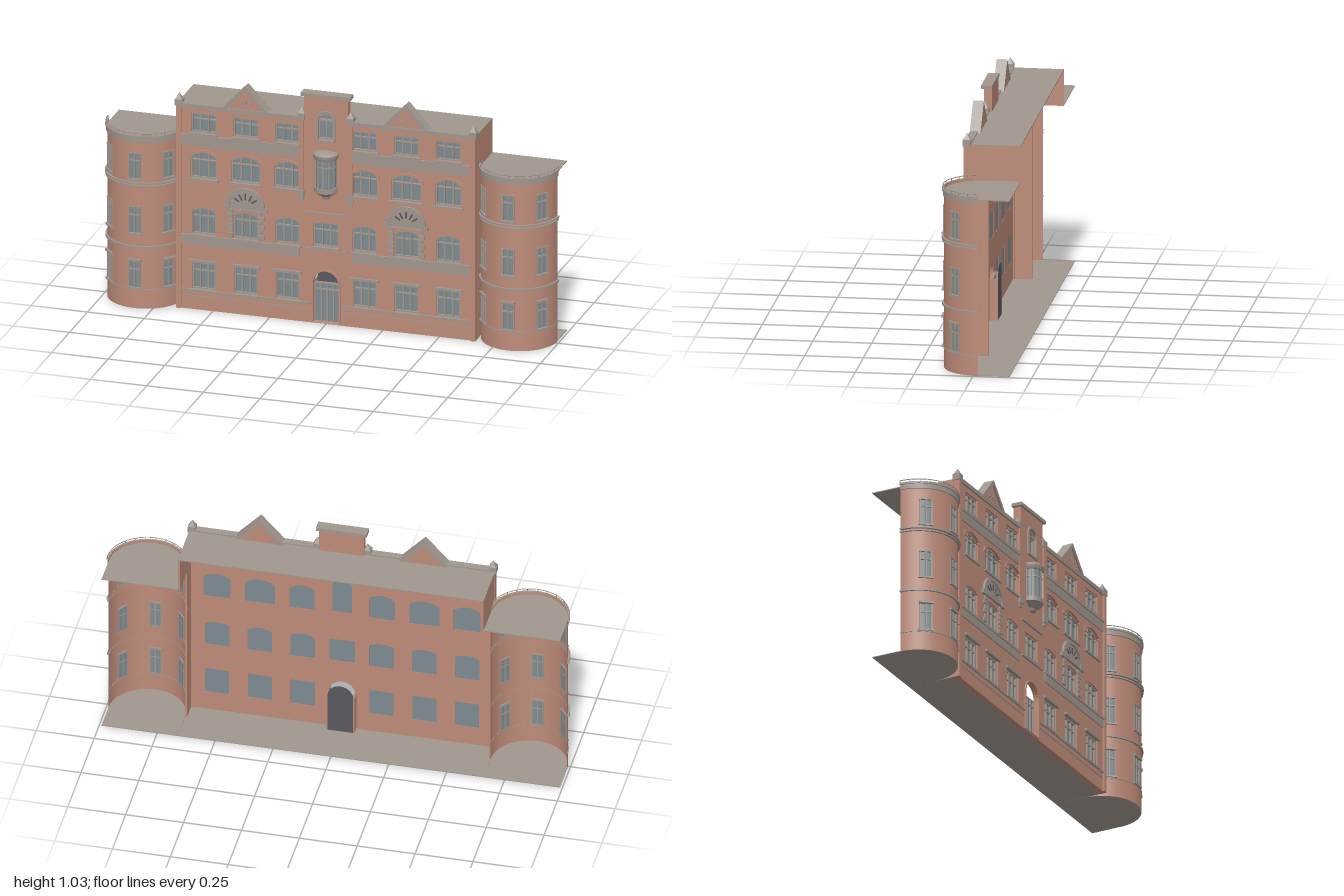
import * as THREE from 'three';
import { toCreasedNormals } from 'three/addons/utils/BufferGeometryUtils.js';

const mat = (name, color) => Object.assign(new THREE.MeshStandardMaterial({ color, side: THREE.DoubleSide }), { name });

export function createModel() {
  const brick = mat('brick', 0xbd8b78), stone = mat('stone', 0xa0968e);
  const glass = mat('glass', 0x7d8b90), dark = mat('dark door', 0x58585f);
  const root = new THREE.Group();
  root.name = 'building';

  const add = (parent, name, geo, m, x = 0, y = 0, z = 0) => {
    const mesh = new THREE.Mesh(geo, m);
    mesh.name = name;
    mesh.position.set(x, y, z);
    parent.add(mesh);
    return mesh;
  };
  // Box given by its ranges
  const box = (parent, name, m, x0, x1, y0, y1, z0, z1) =>
    add(parent, name, new THREE.BoxGeometry(x1 - x0, y1 - y0, z1 - z0), m, (x0 + x1) / 2, (y0 + y1) / 2, (z0 + z1) / 2);
  const extrude = (shape, depth) => new THREE.ExtrudeGeometry(shape, { depth, bevelEnabled: false, curveSegments: 24 });
  // Rectangle whose top is a circular arc of the given rise
  const opening = (x, y0, y1, w, rise = 0) => {
    const h = w / 2, pts = [[x - h, y0], [x + h, y0]];
    if (!rise) pts.push([x + h, y1], [x - h, y1]);
    else {
      const R = (h * h + rise * rise) / (2 * rise), a = Math.asin(Math.min(1, h / R));
      for (let i = 0; i <= 14; i++) {
        const t = a - (2 * a * i) / 14;
        pts.push([x + R * Math.sin(t), y1 - R + R * Math.cos(t)]);
      }
    }
    return pts.map(p => new THREE.Vector2(...p));
  };
  const ring = (outer, inner) => {
    const s = new THREE.Shape(outer);
    s.holes.push(new THREE.Path(inner));
    return s;
  };

  // Window list: x, bottom, top, width, arch rise
  const windows = [[0, 0.345, 0.455, 0.11, 0], [0, 0.83, 0.95, 0.066, 0.033]];
  for (const x of [-0.54, -0.355, -0.17, 0.17, 0.355, 0.54]) {
    const mid = Math.abs(x) === 0.355;
    windows.push([x, 0.092, 0.214, 0.104, 0], [x, 0.34, 0.46, 0.106, 0.014]);
    windows.push([x, 0.592, 0.712, mid ? 0.13 : 0.116, 0.022], [x, 0.797, 0.885, 0.11, 0]);
  }
  const door = [0, 0.004, 0.238, 0.112, 0.056], bayHole = [0, 0.6, 0.765, 0.085, 0.02];

  // Main front wall with a raised centre
  const wall = new THREE.Shape([[-0.66, 0], [0.66, 0], [0.66, 0.915], [0.097, 0.915], [0.097, 1.02],
    [-0.097, 1.02], [-0.097, 0.915], [-0.66, 0.915]].map(p => new THREE.Vector2(...p)));
  for (const o of [...windows, door, bayHole]) wall.holes.push(new THREE.Path(opening(...o)));
  add(root, 'frontWall', extrude(wall, 0.02), brick, 0, 0, 0.06);
  box(root, 'raisedCentreBack', brick, -0.097, 0.097, 0.92, 1.02, 0.045, 0.06);
  box(root, 'raisedCentreCap', stone, -0.11, 0.11, 1.02, 1.035, 0.043, 0.09);

  // Windows of the main wall
  for (const [x, y0, y1, w, rise] of windows) {
    const g = new THREE.Group(), h = y1 - y0, narrow = w < 0.08;
    g.name = 'window';
    root.add(g);
    add(g, 'pane', new THREE.ShapeGeometry(new THREE.Shape(opening(x, y0, y1, w, rise))), glass, 0, 0, 0.0615);
    const inner = opening(x, y0 + 0.006, y1 - 0.006, w - 0.012, rise && rise * (w - 0.012) / w);
    add(g, 'frame', extrude(ring(opening(x, y0, y1, w, rise), inner), 0.01), stone, 0, 0, 0.063);
    for (const s of narrow ? [0] : [-1, 1])
      box(g, 'mullion', stone, x + s * w / 6 - 0.003, x + s * w / 6 + 0.003, y0, y1 - rise * 0.3, 0.063, 0.072);
    box(g, 'transom', stone, x - w / 2, x + w / 2, y0 + h * 0.66, y0 + h * 0.66 + 0.005, 0.063, 0.071);
    box(g, 'sill', stone, x - w / 2 - 0.008, x + w / 2 + 0.008, y0 - 0.008, y0, 0.07, 0.089);
    if (y0 < 0.1) box(g, 'lintel', stone, x - 0.063, x + 0.063, y1, y1 + 0.011, 0.075, 0.091);
    else if (y0 > 0.5 && y0 < 0.7)
      add(g, 'archTrim', extrude(ring(opening(x, y1 - rise - 0.012, y1 + 0.01, w + 0.02, rise + 0.004),
        opening(x, y1 - rise - 0.011, y1, w, rise)), 0.005), brick, 0, 0, 0.08);
  }

  // Entrance: recessed dark arch, glazed doors and brick jambs
  add(root, 'entranceBack', new THREE.ShapeGeometry(new THREE.Shape(opening(...door))), dark, 0, 0, 0.025);
  box(root, 'doorGlass', glass, -0.05, 0.05, 0.005, 0.175, 0.05, 0.055);
  for (const x of [-0.053, -0.027, 0, 0.027, 0.053]) box(root, 'doorMullion', stone, x - 0.003, x + 0.003, 0.004, 0.178, 0.05, 0.062);
  for (const y of [0.145, 0.173]) box(root, 'doorRail', stone, -0.056, 0.056, y, y + 0.006, 0.05, 0.062);
  for (const s of [-1, 1]) box(root, 'doorJamb', brick, s * 0.0585 - 0.0025, s * 0.0585 + 0.0025, 0.003, 0.185, 0.025, 0.06);
  add(root, 'doorArchTrim', extrude(ring(opening(0, 0.003, 0.246, 0.128, 0.064), opening(0, 0.0035, 0.238, 0.112, 0.056)), 0.006), brick, 0, 0, 0.08);
  add(root, 'topWindowTrim', extrude(ring(opening(0, 0.822, 0.96, 0.084, 0.042), opening(0, 0.83, 0.95, 0.066, 0.033)), 0.007), stone, 0, 0, 0.08);
  for (const y of [0.495, 0.33]) box(root, 'centreBand', stone, -0.09, 0.09, y, y + 0.007, 0.08, 0.088);

  // Half-round solid of revolution, bulging to the front
  const halfLathe = pts => toCreasedNormals(new THREE.LatheGeometry(pts.map(p => new THREE.Vector2(...p)), 32, -Math.PI / 2, Math.PI), 0.6);

  // Oriel bay window
  const oriel = new THREE.Group();
  oriel.name = 'oriel';
  oriel.position.z = 0.08;
  root.add(oriel);
  add(oriel, 'orielCorbel', halfLathe([[0, 0.563], [0.016, 0.568], [0.02, 0.58], [0.04, 0.592], [0.05, 0.602], [0.05, 0.622], [0, 0.622]]), stone);
  add(oriel, 'orielGlass', halfLathe([[0.044, 0.62], [0.044, 0.755]]), glass);
  add(oriel, 'orielCap', halfLathe([[0, 0.75], [0.05, 0.75], [0.055, 0.76], [0.055, 0.772], [0.045, 0.78], [0, 0.785]]), stone);
  for (let i = 0; i <= 6; i++) {
    const a = -Math.PI / 2 + (i * Math.PI) / 6;
    add(oriel, 'orielMullion', new THREE.BoxGeometry(0.006, 0.135, 0.006), stone, 0.045 * Math.sin(a), 0.687, 0.045 * Math.cos(a)).rotation.y = a;
  }
  add(oriel, 'orielTransom', halfLathe([[0.044, 0.715], [0.047, 0.715], [0.047, 0.721], [0.044, 0.721]]), stone);
  add(root, 'orielBackPane', new THREE.ShapeGeometry(new THREE.Shape(opening(...bayHole))), glass, 0, 0, 0.0615);

  // Floor and roof slabs, drawn in x and z
  const slab = (name, shape, top, t) => {
    const geo = extrude(shape, t);
    geo.rotateX(Math.PI / 2);
    add(root, name, geo, stone, 0, top, 0);
  };
  const towerPlan = s => {
    const p = new THREE.Shape();
    p.moveTo(s * 0.825 - 0.165, -0.155);
    p.lineTo(s * 0.825 + 0.165, -0.155);
    p.lineTo(s * 0.825 + 0.164, -0.02);
    p.absarc(s * 0.825, -0.02, 0.164, 0, Math.PI, false);
    return p;
  };
  const mainPlan = new THREE.Shape(opening(0, -0.155, 0.078, 1.32));
  slab('floor', mainPlan, 0.003, 0.003);
  slab('mainRoof', mainPlan, 0.92, 0.005);

  for (const s of [-1, 1]) {
    const side = new THREE.Group();
    side.name = s > 0 ? 'leftWing' : 'rightWing';
    root.add(side);
    // Box whose x range is mirrored by side
    const mbox = (name, m, x0, x1, ...r) => box(side, name, m, Math.min(s * x0, s * x1), Math.max(s * x0, s * x1), ...r);

    slab('towerFloor', towerPlan(s), 0.003, 0.003);
    slab('towerRoof', towerPlan(s), 0.766, 0.004);
    mbox('sideWall', brick, 0.652, 0.66, 0.003, 0.765, -0.02, 0.06);
    mbox('upperSideWall', brick, 0.652, 0.66, 0.762, 0.915, -0.155, 0.06);

    // Stone courses
    mbox('plinthCourse', stone, 0.066, 0.64, 0.082, 0.092, 0.08, 0.086);
    mbox('lowerPlinthLine', stone, 0.066, 0.64, 0.058, 0.062, 0.08, 0.083);
    mbox('lowerBand', stone, 0.115, 0.64, 0.292, 0.33, 0.08, 0.085);
    mbox('lowerBandMoulding', stone, 0.115, 0.64, 0.328, 0.337, 0.08, 0.09);
    mbox('upperBand', stone, 0.118, 0.64, 0.738, 0.78, 0.08, 0.085);
    mbox('upperBandMoulding', stone, 0.118, 0.64, 0.78, 0.789, 0.08, 0.09);
    mbox('parapetCoping', stone, 0.118, 0.64, 0.908, 0.926, 0.055, 0.088);

    // Pilasters with pointed caps
    for (const [x, y0, w] of [[0.65, 0, 0.022], [0.108, 0.59, 0.022]]) {
      mbox('pilaster', brick, x - w / 2, x + w / 2, y0, 0.915, 0.055, 0.088);
      mbox('pinnacleBlock', stone, x - 0.016, x + 0.016, 0.912, 0.94, 0.056, 0.09);
      const tip = add(side, 'pinnacleTip', new THREE.ConeGeometry(0.02, 0.028, 4).toNonIndexed(), stone, s * x, 0.954, 0.073);
      tip.geometry.computeVertexNormals();
      tip.rotation.y = Math.PI / 4;
    }
    mbox('pilasterCorbel', stone, 0.095, 0.124, 0.56, 0.595, 0.08, 0.092);
    mbox('corbelFoot', stone, 0.1, 0.117, 0.545, 0.56, 0.08, 0.088);

    // Gable with raking copings
    const gx = s * 0.355;
    const tri = (w, y0, y1) => [[gx - w, y0], [gx + w, y0], [gx, y1]].map(p => new THREE.Vector2(...p));
    add(side, 'gable', extrude(new THREE.Shape(tri(0.09, 0.915, 1.012)), 0.037), brick, 0, 0, 0.045);
    add(side, 'gableCoping', extrude(ring(tri(0.106, 0.918, 1.033), tri(0.082, 0.922, 1.011)), 0.046), stone, 0, 0, 0.043);
    for (const d of [-0.022, 0, 0.022]) box(side, 'gableCarving', stone, gx + d - 0.006, gx + d + 0.006, 0.948, 0.958 + (d ? 0 : 0.012), 0.08, 0.086);

    // Ornate window surround: arch, tympanum and quoins
    add(side, 'tympanum', extrude(new THREE.Shape(opening(gx, 0.475, 0.56, 0.15, 0.075)), 0.005), stone, 0, 0, 0.08);
    add(side, 'hoodArch', extrude(ring(opening(gx, 0.474, 0.573, 0.174, 0.087), opening(gx, 0.476, 0.558, 0.144, 0.072)), 0.012), stone, 0, 0, 0.08);
    for (let i = -2; i <= 2; i++) {
      const a = i * 0.5;
      add(side, 'fanCarving', new THREE.BoxGeometry(0.007, 0.028, 0.004), dark, gx + 0.045 * Math.sin(a), 0.495 + 0.038 * Math.cos(a), 0.0845).rotation.z = -a;
    }
    for (const d of [-1, 1]) {
      box(side, 'hoodEnd', stone, gx + d * 0.083 - 0.014, gx + d * 0.083 + 0.014, 0.472, 0.49, 0.08, 0.092);
      for (let i = 0; i < 6; i++) {
        const w = i % 2 ? 0.008 : 0.013, c = gx + d * (0.056 + w);
        box(side, 'quoin', stone, c - w, c + w, 0.348 + i * 0.021, 0.366 + i * 0.021, 0.08, 0.087);
      }
    }

    // Half-round tower
    const tower = new THREE.Group();
    tower.name = 'tower';
    tower.position.set(s * 0.825, 0, -0.02);
    side.add(tower);
    const R = 0.165, half = 0.16, angles = [-0.9, 0, 0.9];
    const floors = [[0.095, 0.214], [0.34, 0.455], [0.585, 0.697]];
    const skin = (name, m, r, a0, a1, y0, y1) =>
      add(tower, name, new THREE.CylinderGeometry(r, r, y1 - y0, Math.ceil((a1 - a0) * 14), 1, true, a0, a1 - a0), m, 0, (y0 + y1) / 2, 0);
    let from = -Math.PI / 2;
    for (const a of [...angles, Math.PI / 2 + half]) {
      skin('towerPier', brick, R, from, a - half, 0, 0.78);
      from = a + half;
    }
    for (const a of angles) {
      let y = 0;
      for (const [y0, y1] of [...floors, [0.78, 0]]) {
        skin('towerSpandrel', brick, R, a - half, a + half, y, y0);
        y = y1;
      }
      for (const [i, [y0, y1]] of floors.entries()) {
        skin('towerPane', glass, R - 0.004, a - half, a + half, y0, y1);
        const w = new THREE.Group();
        w.name = 'towerWindowFrame';
        w.rotation.y = a;
        tower.add(w);
        for (const x of [-0.024, 0, 0.024]) box(w, 'towerMullion', stone, x - 0.0025, x + 0.0025, y0, y1, R - 0.006, R + 0.002);
        box(w, 'towerTransom', stone, -0.025, 0.025, y0 + 0.078, y0 + 0.083, R - 0.006, R + 0.002);
        box(w, 'towerSill', stone, -0.032, 0.032, y0 - 0.008, y0, R - 0.006, R + 0.007);
        box(w, 'towerLintel', stone, -0.03, 0.03, y1, y1 + (i ? 0.004 : 0.009), R - 0.006, R + (i ? 0.003 : 0.01));
      }
    }
    // Tower string courses, cornice and railing
    for (const [y0, y1, r] of [[0.083, 0.088, 0.168], [0.273, 0.282, 0.173], [0.55, 0.556, 0.173], [0.562, 0.569, 0.175], [0.748, 0.77, 0.17], [0.77, 0.779, 0.174]])
      add(tower, 'stringCourse', halfLathe([[R - 0.001, y0], [r, y0], [r, y1], [R - 0.001, y1]]), stone);
    add(tower, 'railing', new THREE.TorusGeometry(0.17, 0.0018, 6, 32, Math.PI).rotateX(Math.PI / 2), stone, 0, 0.79, 0);
    for (let i = 0; i <= 12; i++) {
      const a = -Math.PI / 2 + (i * Math.PI) / 12;
      add(tower, 'railPost', new THREE.CylinderGeometry(0.0016, 0.0016, 0.014, 6), stone, 0.17 * Math.sin(a), 0.784, 0.17 * Math.cos(a));
    }
  }
  return root;
}
